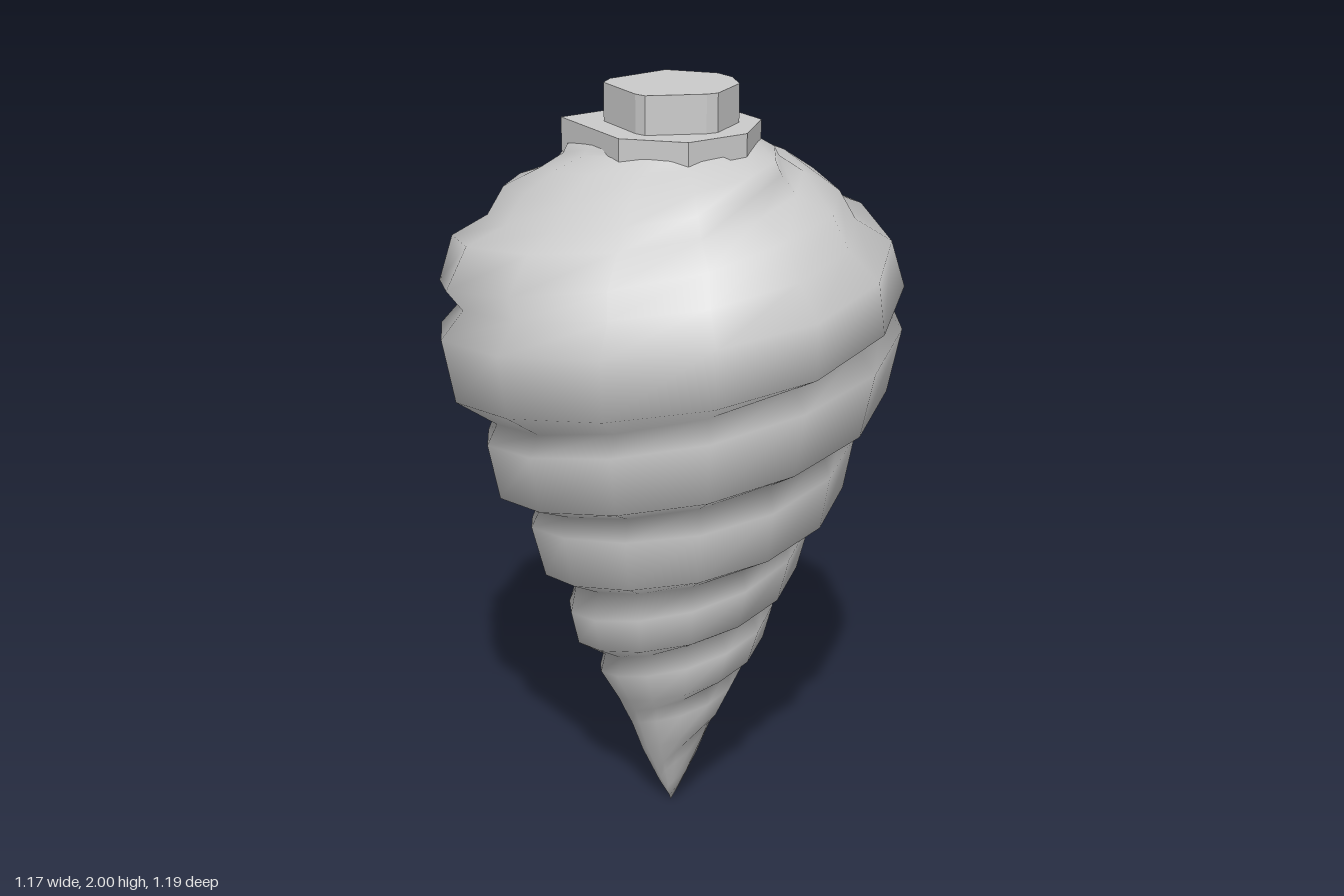
import * as THREE from 'three';
import { mergeVertices } from 'three/addons/utils/BufferGeometryUtils.js';

// Ridge guide lines as [radius, height], one entry per quarter turn, tip to top.
const valley = [
  [0, 0], [0, 0], [0, 0], [0.045, 0.09], [0.10, 0.24], [0.14, 0.32], [0.16, 0.415],
  [0.195, 0.50], [0.217, 0.605], [0.277, 0.72], [0.31, 0.815], [0.372, 0.955],
  [0.415, 1.08], [0.48, 1.20], [0.50, 1.355], [0.555, 1.51], [0.51, 1.62],
  [0.42, 1.70], [0.34, 1.79], [0.21, 1.85], [0.20, 1.88],
];
const lowerBulge = [
  [0, 0], [0.012, 0.03], [0.04, 0.09], [0.09, 0.19], [0.13, 0.275], [0.155, 0.36],
  [0.215, 0.455], [0.272, 0.55], [0.297, 0.65], [0.36, 0.765], [0.41, 0.875],
  [0.477, 1.0], [0.507, 1.135], [0.585, 1.275], [0.583, 1.40], [0.588, 1.565],
  [0.465, 1.71], [0.38, 1.76], [0.32, 1.83], [0.205, 1.86], [0.20, 1.88],
];
const upperBulge = [
  [0, 0], [0.035, 0.07], [0.085, 0.19], [0.12, 0.28], [0.17, 0.37], [0.207, 0.45],
  [0.25, 0.555], [0.289, 0.64], [0.325, 0.76], [0.397, 0.91], [0.43, 1.01],
  [0.508, 1.15], [0.545, 1.305], [0.615, 1.44], [0.583, 1.54], [0.525, 1.665],
  [0.36, 1.74], [0.30, 1.82], [0.22, 1.845], [0.20, 1.87], [0.20, 1.88],
];

// Linear lookup along a guide line; u counts half turns from -2.
function sample(line, u) {
  const s = Math.min(Math.max((u + 2) * 2, 0), line.length - 1);
  const i = Math.min(Math.floor(s), line.length - 2);
  return line[i].map((a, k) => a + (line[i + 1][k] - a) * (s - i));
}

// Two ridges wind up side by side, half a turn apart, sharing their valleys.
function spiralGeometry() {
  const steps = 70, positions = [], index = [];
  for (let strand = 0; strand < 2; strand++) {
    const base = positions.length / 3;
    for (let i = 0; i <= steps; i++) {
      const u = -2 + i / 7;
      const t = Math.PI * (u + strand);
      const section = [sample(valley, u), sample(lowerBulge, u), sample(upperBulge, u), sample(valley, u + 1)];
      for (const [r, y] of section) positions.push(r * Math.cos(t), y, -r * Math.sin(t));
      if (i === steps) continue;
      for (let j = 0; j < 3; j++) {
        const a = base + i * 4 + j, b = a + 4;
        index.push(a, b, b + 1, a, b + 1, a + 1);
      }
    }
  }
  const geometry = new THREE.BufferGeometry();
  geometry.setAttribute('position', new THREE.Float32BufferAttribute(positions, 3));
  geometry.setIndex(index);
  const merged = mergeVertices(geometry, 1e-4);
  merged.computeVertexNormals();
  return merged;
}

// Upright prism from an outline of [x, z] corners.
function prism(outline, bottom, top) {
  const shape = new THREE.Shape(outline.map(([x, z]) => new THREE.Vector2(x, -z)));
  const geometry = new THREE.ExtrudeGeometry(shape, { depth: top - bottom, bevelEnabled: false });
  return geometry.rotateX(-Math.PI / 2).translate(0, bottom, 0);
}

export function createModel() {
  const group = new THREE.Group();
  const add = (name, geometry, side = THREE.FrontSide) => {
    const mesh = new THREE.Mesh(geometry, new THREE.MeshStandardMaterial({ color: 0xcccccc, side }));
    mesh.name = name;
    group.add(mesh);
  };

  add('spiralBody', spiralGeometry(), THREE.DoubleSide);

  // Collar where the ridges run out
  add('collar', prism([[-0.1, -0.205], [0.11, -0.195], [0.215, -0.07], [0.21, 0.1],
    [0.08, 0.21], [-0.2, 0.19], [-0.2, -0.07]], 1.82, 1.905));

  // Five-sided stub with softened corners
  add('topStub', prism([[-0.14, -0.085], [-0.03, -0.165], [0.03, -0.165], [0.105, -0.13],
    [0.165, -0.02], [0.16, 0.01], [0.09, 0.14], [0.06, 0.147], [-0.1, 0.13], [-0.13, 0.09]], 1.85, 2));

  return group;
}
